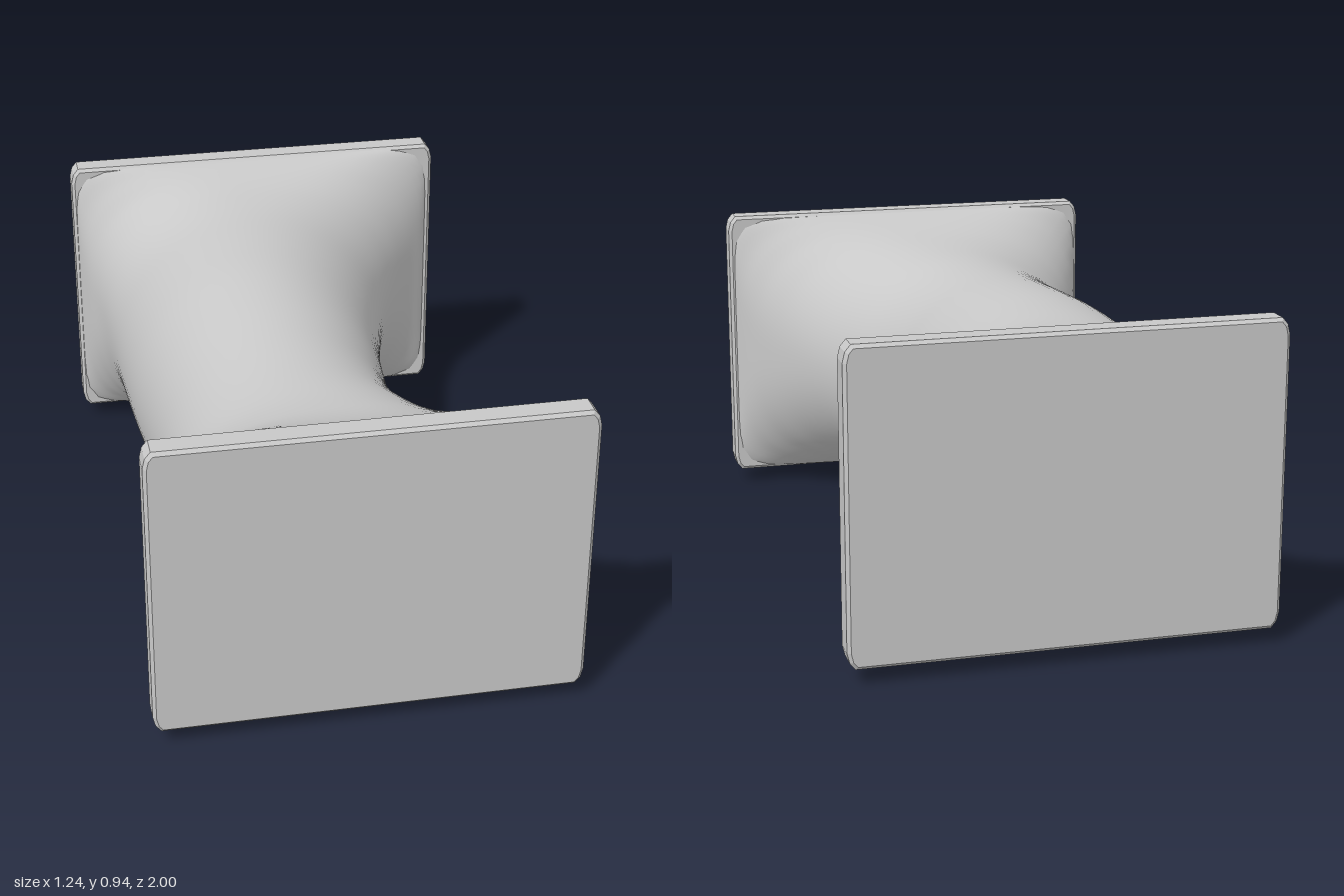
import * as THREE from 'three';

// Body sections from back to front: z, left x, right x, bottom y, top y, squareness
const SECTIONS = [
  [-0.93, -0.612, 0.61, 0.05, 0.938, 16],
  [-0.90, -0.605, 0.588, 0.045, 0.932, 6.5],
  [-0.85, -0.588, 0.535, 0.034, 0.916, 3.6],
  [-0.78, -0.562, 0.477, 0.02, 0.899, 2.7],
  [-0.70, -0.545, 0.43, 0.009, 0.888, 2.3],
  [-0.58, -0.533, 0.38, 0.001, 0.88, 2.08],
  [-0.40, -0.525, 0.33, 0.003, 0.878, 2.02],
  [-0.20, -0.515, 0.288, 0.011, 0.876, 2],
  [0.00, -0.5, 0.264, 0.031, 0.865, 2],
  [0.20, -0.49, 0.252, 0.056, 0.851, 2],
  [0.40, -0.495, 0.285, 0.078, 0.845, 2.02],
  [0.58, -0.516, 0.375, 0.088, 0.853, 2.1],
  [0.70, -0.54, 0.45, 0.084, 0.867, 2.35],
  [0.78, -0.566, 0.513, 0.075, 0.883, 2.75],
  [0.85, -0.592, 0.566, 0.063, 0.905, 3.7],
  [0.90, -0.607, 0.597, 0.053, 0.926, 6.5],
  [0.93, -0.612, 0.61, 0.05, 0.938, 16],
];

// Values of one section, blended smoothly between the stations
function sectionAt(t) {
  const last = SECTIONS.length - 1;
  const i = Math.min(Math.floor(t), last - 1), f = t - i;
  const at = (k) => SECTIONS[Math.max(0, Math.min(last, k))];
  return at(0).map((_, c) => {
    const [a, b, d, e] = [at(i - 1)[c], at(i)[c], at(i + 1)[c], at(i + 2)[c]];
    return b + 0.5 * f * (d - a + f * (2 * a - 5 * b + 4 * d - e + f * (3 * (b - d) + e - a)));
  });
}

// Loft of superellipses that turn from round in the waist to square at the ends
function bodyGeometry(rings = 64, sides = 80) {
  const pos = [], index = [];
  for (let r = 0; r <= rings; r++) {
    const [z, x0, x1, y0, y1, n] = sectionAt((r / rings) * (SECTIONS.length - 1));
    for (let s = 0; s < sides; s++) {
      const a = (s / sides) * Math.PI * 2, c = Math.cos(a), d = Math.sin(a);
      const k = Math.pow(Math.abs(c) ** n + Math.abs(d) ** n, -1 / n);
      pos.push((x0 + x1) / 2 + k * c * (x1 - x0) / 2, (y0 + y1) / 2 + k * d * (y1 - y0) / 2, z);
      if (r < rings) {
        const p = r * sides + s, q = r * sides + (s + 1) % sides;
        index.push(p, q, q + sides, p, q + sides, p + sides);
      }
    }
  }
  const g = new THREE.BufferGeometry();
  g.setAttribute('position', new THREE.Float32BufferAttribute(pos, 3));
  g.setIndex(index);
  g.computeVertexNormals();
  return g;
}

// End plate with cut corners and a narrow bevel
function plateGeometry() {
  const b = 0.01, w = 0.62 - b, h = 0.448 - b, cx = 0.018, cy = 0.04;
  const pts = [];
  for (const [sx, sy] of [[1, 1], [-1, 1], [-1, -1], [1, -1]]) {
    const corner = [[w, h - cy], [w - cx * 0.35, h - cy * 0.35], [w - cx, h]];
    if (sx * sy < 0) corner.reverse();
    for (const [x, y] of corner) pts.push(new THREE.Vector2(sx * x, sy * y));
  }
  const g = new THREE.ExtrudeGeometry(new THREE.Shape(pts), {
    depth: 0.085 - 2 * b, bevelThickness: b, bevelSize: b, bevelSegments: 1,
  });
  return g.translate(0, 0, b - 0.0425);
}

export function createModel() {
  const grey = new THREE.MeshStandardMaterial({ color: 0xc8c8c8 });
  grey.name = 'grey';
  const group = new THREE.Group();
  group.name = 'spool';

  // Flared waist
  const body = new THREE.Mesh(bodyGeometry(), grey);
  body.name = 'waistedBody';
  group.add(body);

  // Flat plates at both ends
  for (const [name, z] of [['frontPlate', 0.9575], ['backPlate', -0.9575]]) {
    const plate = new THREE.Mesh(plateGeometry(), grey);
    plate.name = name;
    plate.position.set(0, 0.494, z);
    group.add(plate);
  }
  return group;
}
